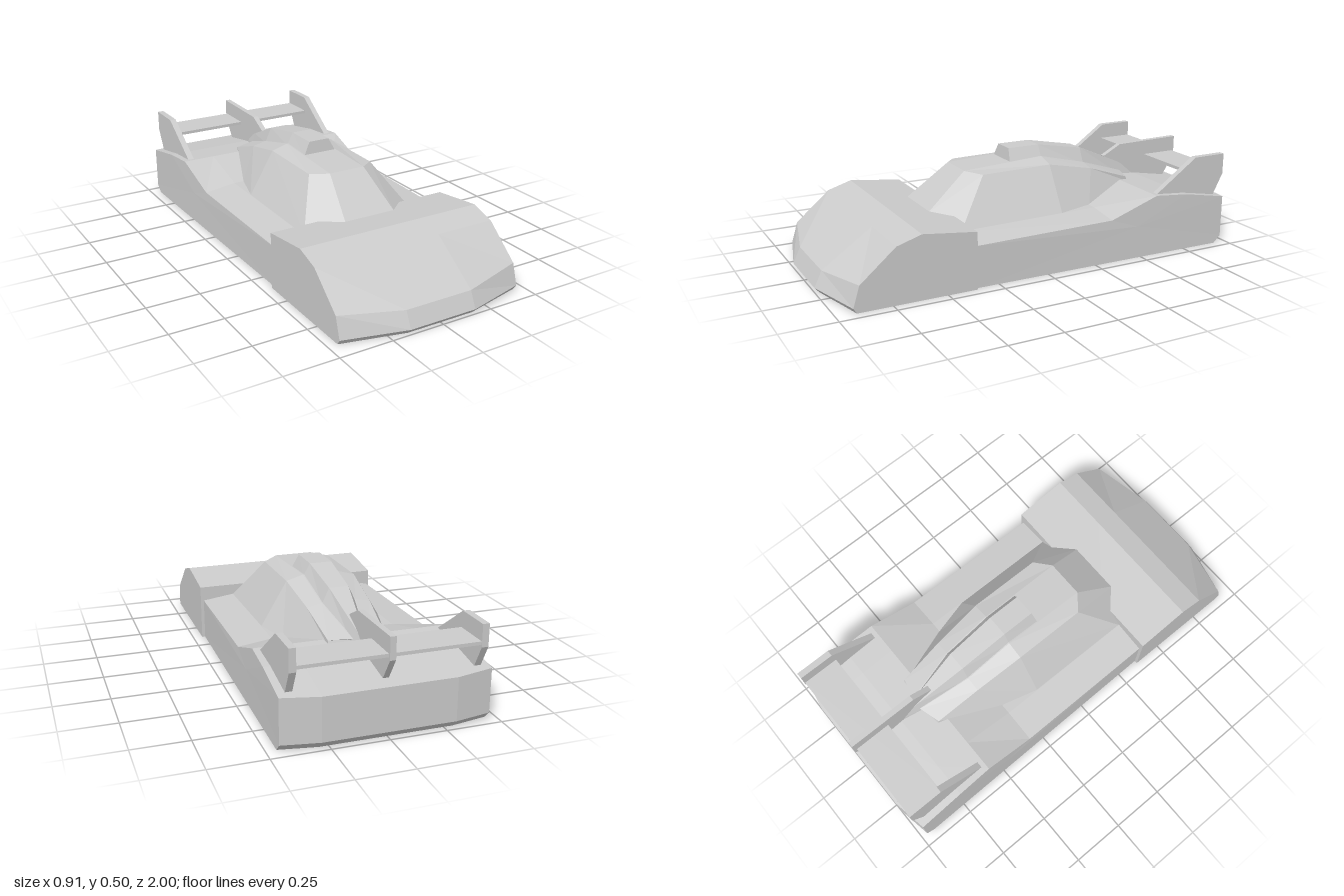
import * as THREE from 'three';

const material = new THREE.MeshStandardMaterial({ color: 0xcccccc, flatShading: true });

// Joins equal-length closed loops of [x, y, z] into a capped, outward-facing solid.
function loft(name, loops) {
  const tris = [];
  const n = loops[0].length;
  for (let i = 0; i < loops.length - 1; i++) {
    for (let j = 0; j < n; j++) {
      const k = (j + 1) % n;
      const [a, b, c, d] = [loops[i][j], loops[i][k], loops[i + 1][k], loops[i + 1][j]];
      tris.push([a, b, c], [a, c, d]);
    }
  }
  const cap = (loop, flip) => {
    const mid = [0, 1, 2].map((c) => loop.reduce((s, p) => s + p[c], 0) / n);
    loop.forEach((p, j) => {
      const q = loop[(j + 1) % n];
      tris.push(flip ? [mid, q, p] : [mid, p, q]);
    });
  };
  cap(loops[0], true);
  cap(loops[loops.length - 1], false);

  // Turn the solid right side out if its signed volume is negative.
  const vec = tris.map((t) => t.map((p) => new THREE.Vector3(...p)));
  const volume = vec.reduce((s, [a, b, c]) => s + a.dot(b.clone().cross(c)), 0);
  const points = [];
  for (const [a, b, c] of vec) {
    if (new THREE.Triangle(a, b, c).getArea() < 1e-8) continue;
    points.push(...(volume < 0 ? [a, c, b] : [a, b, c]));
  }
  const geometry = new THREE.BufferGeometry().setFromPoints(points);
  geometry.computeVertexNormals();
  const mesh = new THREE.Mesh(geometry, material);
  mesh.name = name;
  return mesh;
}

// Upright plate: a [z, y] outline given a thickness along x.
function plate(name, x, thickness, outline) {
  return loft(name, [-0.5, 0.5].map((s) => outline.map(([z, y]) => [x + s * thickness, y, z])));
}

// Symmetric cross-section from points listed on the +x side, bottom to top.
const arch = (half) => [
  ...half.map(([x, y, z]) => [-x, y, z]),
  ...half.slice().reverse(),
];

export function createModel() {
  const car = new THREE.Group();
  car.name = 'raceCar';

  // Front bodywork: a wedge whose nose is swept back towards the sides
  const noseSide = [[0.36, 0.01], [0.36, 0.275], [0.615, 0.305], [0.73, 0.27],
    [0.895, 0.13], [0.925, 0.033], [0.91, 0.01]];
  const noseMid = [[0.36, 0.01], [0.36, 0.275], [0.615, 0.305], [0.73, 0.27],
    [0.965, 0.107], [1.0, 0.033], [0.98, 0.01]];
  car.add(loft('frontBody', [[-0.455, noseSide], [-0.165, noseMid], [0.165, noseMid], [0.455, noseSide]]
    .map(([x, profile]) => profile.map(([z, y]) => [x, y, z]))));

  // Rear bodywork: the deck is crowned towards the cockpit and the tail is swept at its corners
  const flank = [[0.44, 0.01, 0.36], [0.44, 0.205, 0.36], [0.445, 0.215, -0.335], [0.448, 0.3, -0.58],
    [0.452, 0.285, -0.75], [0.455, 0.245, -0.97], [0.455, 0.045, -0.97], [0.455, 0.01, -0.935]];
  const deck = [[0.29, 0.01, 0.36], [0.29, 0.225, 0.36], [0.29, 0.235, -0.335], [0.29, 0.3, -0.58],
    [0.29, 0.285, -0.75], [0.29, 0.24, -1], [0.29, 0.045, -1], [0.29, 0.01, -0.965]];
  const mirror = (loop) => loop.map(([x, y, z]) => [-x, y, z]);
  car.add(loft('rearBody', [mirror(flank), mirror(deck), deck, flank]));

  // Cockpit canopy: each row is base, shoulder and roof edge
  const tip = [0.13, 0.28, 0.45];
  car.add(loft('canopy', [
    [tip, tip, tip],
    [[0.29, 0.222, 0.36], [0.165, 0.432, 0.19], [0.09, 0.44, 0.25]],
    [[0.29, 0.228, -0.16], [0.165, 0.437, -0.16], [0.085, 0.46, -0.16]],
    [[0.24, 0.233, -0.34], [0.148, 0.385, -0.4], [0.08, 0.4, -0.4]],
    [[0.13, 0.285, -0.63], [0.13, 0.31, -0.62], [0.03, 0.315, -0.65]],
  ].map(arch)));

  // Air scoop on the roof, running back into a thin spine
  car.add(loft('airScoop', [
    [[0.088, 0.44, 0.01], [0.052, 0.51, 0]],
    [[0.085, 0.45, -0.16], [0.052, 0.51, -0.16]],
    [[0.08, 0.39, -0.4], [0.045, 0.465, -0.4]],
    [[0.035, 0.3, -0.64], [0.016, 0.36, -0.64]],
    [[0.006, 0.28, -0.77], [0.004, 0.3, -0.76]],
  ].map(arch)));

  // Rear wing with two end plates and a central fin
  const wing = new THREE.Mesh(new THREE.BoxGeometry(0.79, 0.015, 0.175), material);
  wing.name = 'rearWing';
  wing.position.set(0, 0.368, -0.9);
  car.add(wing);
  for (const side of [-1, 1]) {
    car.add(plate(side < 0 ? 'rightEndPlate' : 'leftEndPlate', side * 0.405, 0.03,
      [[-0.59, 0.29], [-0.82, 0.45], [-0.99, 0.45], [-0.99, 0.35], [-0.935, 0.245]]));
  }
  car.add(plate('centreFin', 0, 0.026, [[-0.6, 0.31], [-0.565, 0.395], [-0.66, 0.445],
    [-1, 0.45], [-1, 0.35], [-0.935, 0.25], [-0.74, 0.28]]));

  return car;
}
